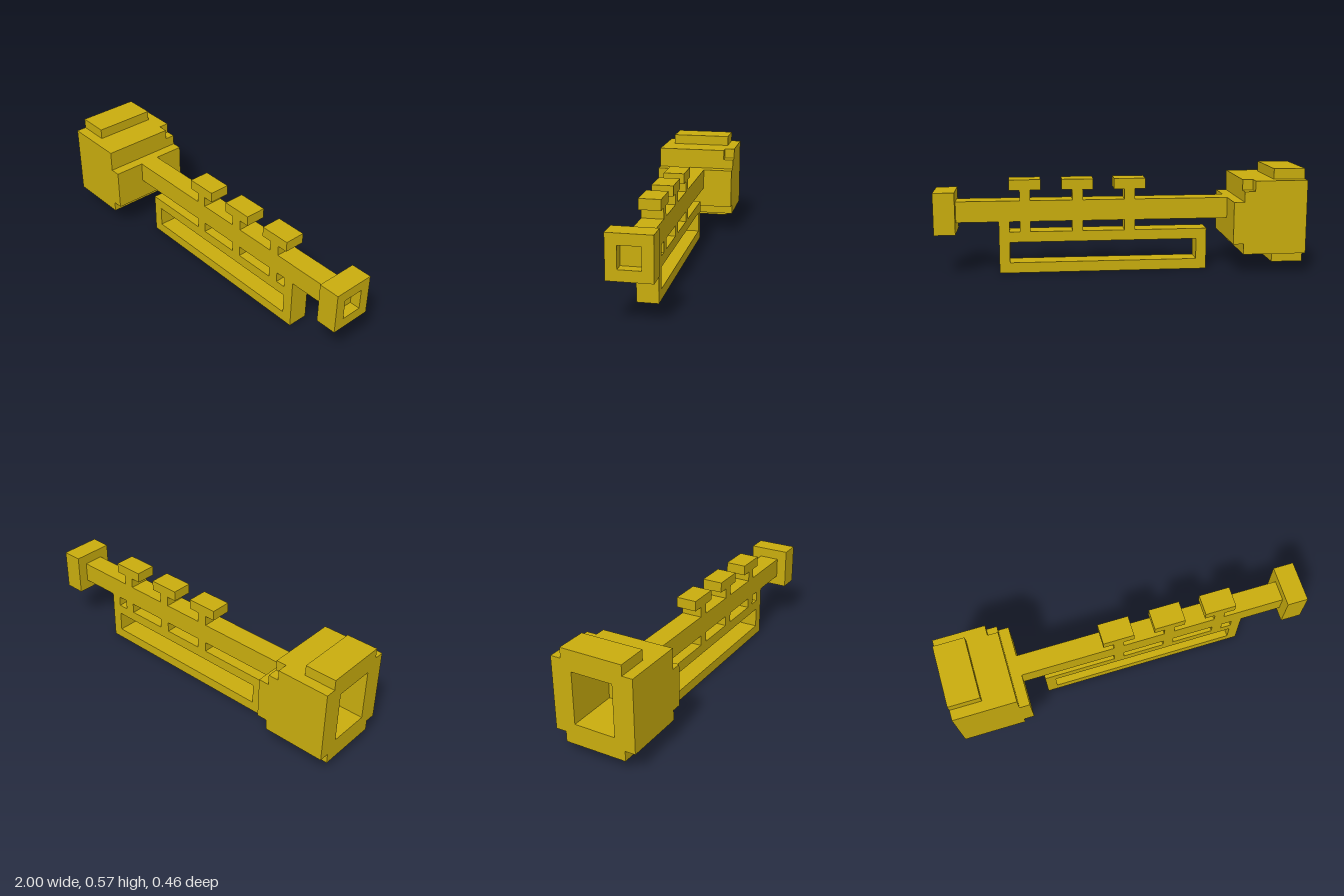
import * as THREE from 'three';

// One block of the blocky grid; all sizes below are in blocks.
const U = 2 / 35;

export function createModel() {
  const group = new THREE.Group();
  const brass = new THREE.MeshStandardMaterial({ color: 0xc9ad0e });
  brass.name = 'brass';

  function add(name, geometry) {
    geometry.scale(U, U, U);
    const mesh = new THREE.Mesh(geometry, brass);
    mesh.name = name;
    group.add(mesh);
  }

  // Box from x0..x1 and y0..y1, centred in depth with half depth hz
  function block(name, x0, x1, y0, y1, hz) {
    const g = new THREE.BoxGeometry(x1 - x0, y1 - y0, 2 * hz);
    g.translate((x0 + x1) / 2, (y0 + y1) / 2, 0);
    add(name, g);
  }

  const points = (list) => list.map(([a, b]) => new THREE.Vector2(a, b));
  const rect = (a0, a1, b0, b1) => points([[a0, b0], [a1, b0], [a1, b1], [a0, b1]]);

  function prism(outline, hole, depth) {
    const shape = new THREE.Shape(outline);
    if (hole) shape.holes.push(new THREE.Path(hole));
    return new THREE.ExtrudeGeometry(shape, { depth, bevelEnabled: false });
  }

  // Cross-section (-z, y) swept along x
  function slice(name, x0, x1, outline, hole) {
    const g = prism(outline, hole, x1 - x0);
    g.rotateY(Math.PI / 2);
    g.translate(x0, 0, 0);
    add(name, g);
  }

  // Bell: hollow front, solid back with one chipped corner, stepped rim and neck
  slice('bell', -17.5, -12.5, rect(-4, 4, 2, 9), rect(-2, 2, 3, 8));
  slice('bellBack', -12.5, -11.5, points([[-4, 2], [4, 2], [4, 8], [3, 8], [3, 9], [-4, 9]]));
  block('bellRimTop', -17.5, -14.5, 9, 10, 3);
  block('bellRimBottom', -17.5, -14.5, 1, 2, 3);
  block('bellNeck', -11.5, -10.5, 3, 7, 4);

  // Main tube and mouthpiece with a shallow square cup
  block('mainTube', -10.5, 15.5, 5, 7, 1);
  block('mouthpieceBase', 15.5, 16.5, 4, 8, 2);
  slice('mouthpieceCup', 16.5, 17.5, rect(-2, 2, 4, 8), rect(-1, 1, 5, 7));

  // Lower tubing loop and the riser joining it to the main tube
  const loop = prism(rect(-8.5, 11.5, 0, 4), rect(-7.5, 10.5, 1, 3), 2);
  loop.translate(0, 0, -1);
  add('tubingLoop', loop);
  block('loopRiser', 10.5, 11.5, 4, 5, 1);

  // Three valves
  for (const x of [-1, 4, 9]) {
    block('valveLowerStem', x - 0.5, x + 0.5, 4, 5, 1);
    block('valveUpperStem', x - 0.5, x + 0.5, 7, 8, 1);
    block('valveCap', x - 1.5, x + 1.5, 8, 9, 1);
  }

  return group;
}
